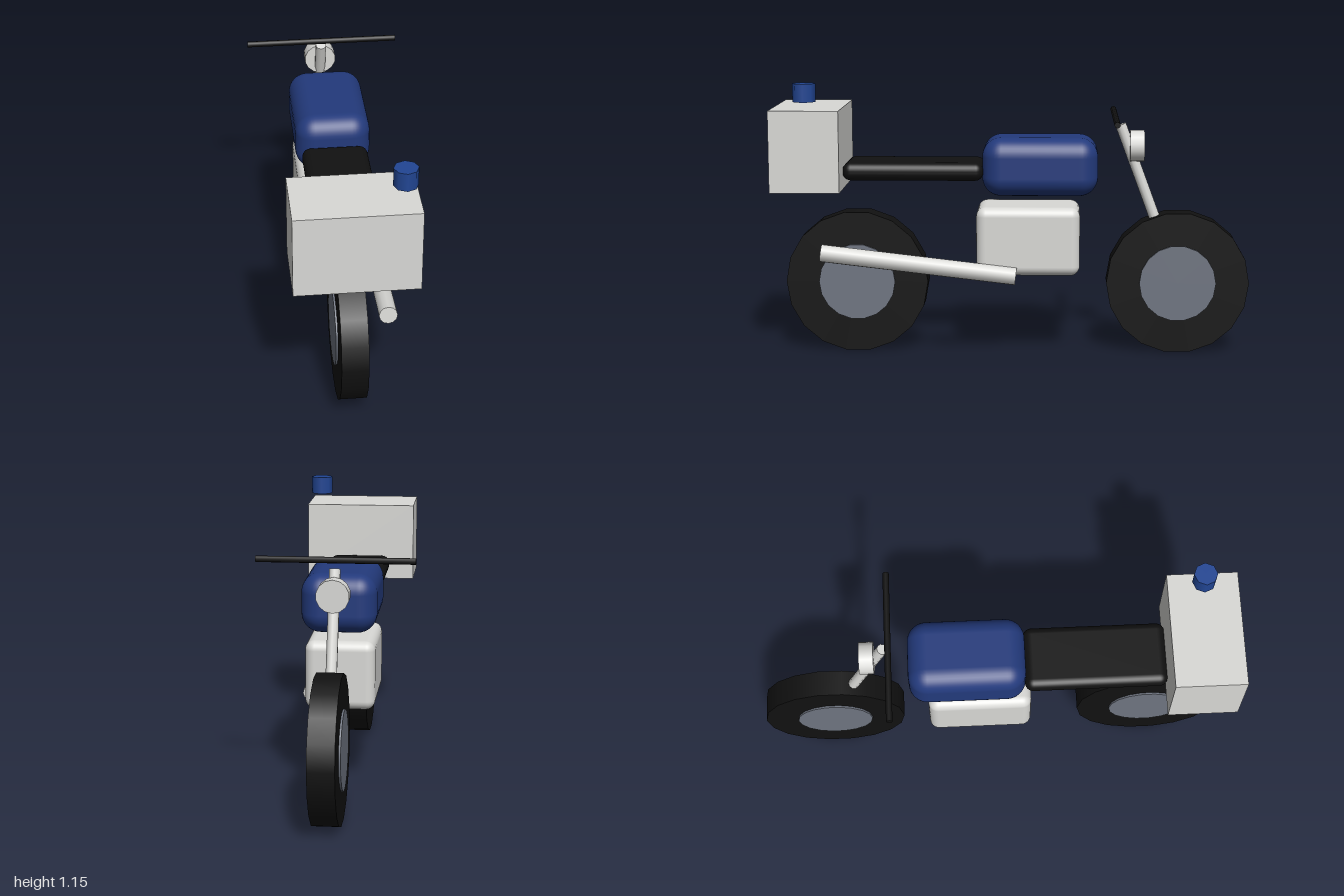
import * as THREE from 'three';
import { RoundedBoxGeometry } from 'three/addons/geometries/RoundedBoxGeometry.js';

export function createModel() {
  const model = new THREE.Group();
  model.name = 'motorbike';

  const material = (name, color) => {
    const m = new THREE.MeshStandardMaterial({ color });
    m.name = name;
    return m;
  };
  const black = material('black rubber', 0x111111);
  const white = material('off white', 0xd9d9d6);
  const tankBlue = material('dark blue', 0x233a7c);
  const beaconBlue = material('bright blue', 0x224694);
  const grey = material('hub grey', 0x6f7581);

  const add = (name, geometry, mat, x, y, z) => {
    const mesh = new THREE.Mesh(geometry, mat);
    mesh.name = name;
    mesh.position.set(x, y, z);
    model.add(mesh);
    return mesh;
  };

  // Round bar between two points
  const bar = (name, a, b, radius, sides, mat) => {
    const start = new THREE.Vector3(...a), end = new THREE.Vector3(...b);
    const dir = end.clone().sub(start);
    const mid = start.clone().add(end).multiplyScalar(0.5);
    const geometry = new THREE.CylinderGeometry(radius, radius, dir.length(), sides);
    add(name, geometry, mat, mid.x, mid.y, mid.z)
      .quaternion.setFromUnitVectors(new THREE.Vector3(0, 1, 0), dir.normalize());
  };

  // Wheels: tyre with a slightly wider hub disc
  for (const [side, z] of [['front', -0.698], ['rear', 0.663]]) {
    const disc = (r, w) => new THREE.CylinderGeometry(r, r, w, 18).rotateZ(Math.PI / 2);
    add(side + 'Tyre', disc(0.302, 0.108), black, 0, 0.298, z);
    add(side + 'Hub', disc(0.162, 0.124), grey, 0, 0.298, z);
  }

  // Body
  add('engine', new RoundedBoxGeometry(0.29, 0.29, 0.435, 4, 0.04), white, 0, 0.485, -0.065);
  add('tank', new RoundedBoxGeometry(0.31, 0.245, 0.485, 5, 0.08), tankBlue, 0, 0.797, -0.115);
  add('seat', new RoundedBoxGeometry(0.27, 0.076, 0.59, 4, 0.035), black, 0, 0.778, 0.418);

  // Top box and beacon
  add('cargoBox', new THREE.BoxGeometry(0.485, 0.34, 0.29), white, 0, 0.875, 0.855);
  add('beacon', new THREE.CylinderGeometry(0.048, 0.048, 0.076, 8), beaconBlue, 0.193, 1.117, 0.855);

  // Steering
  bar('fork', [0, 0.55, -0.608], [0, 0.968, -0.453], 0.023, 10, white);
  bar('handlebar', [-0.32, 1, -0.43], [0.32, 1, -0.43], 0.013, 8, black);
  add('headlight', new THREE.CylinderGeometry(0.067, 0.067, 0.06, 14).rotateX(Math.PI / 2),
    white, 0, 0.877, -0.523);

  // Exhaust pipe on the left side
  bar('exhaust', [0.146, 0.342, -0.015], [0.146, 0.437, 0.803], 0.037, 12, white);

  return model;
}
